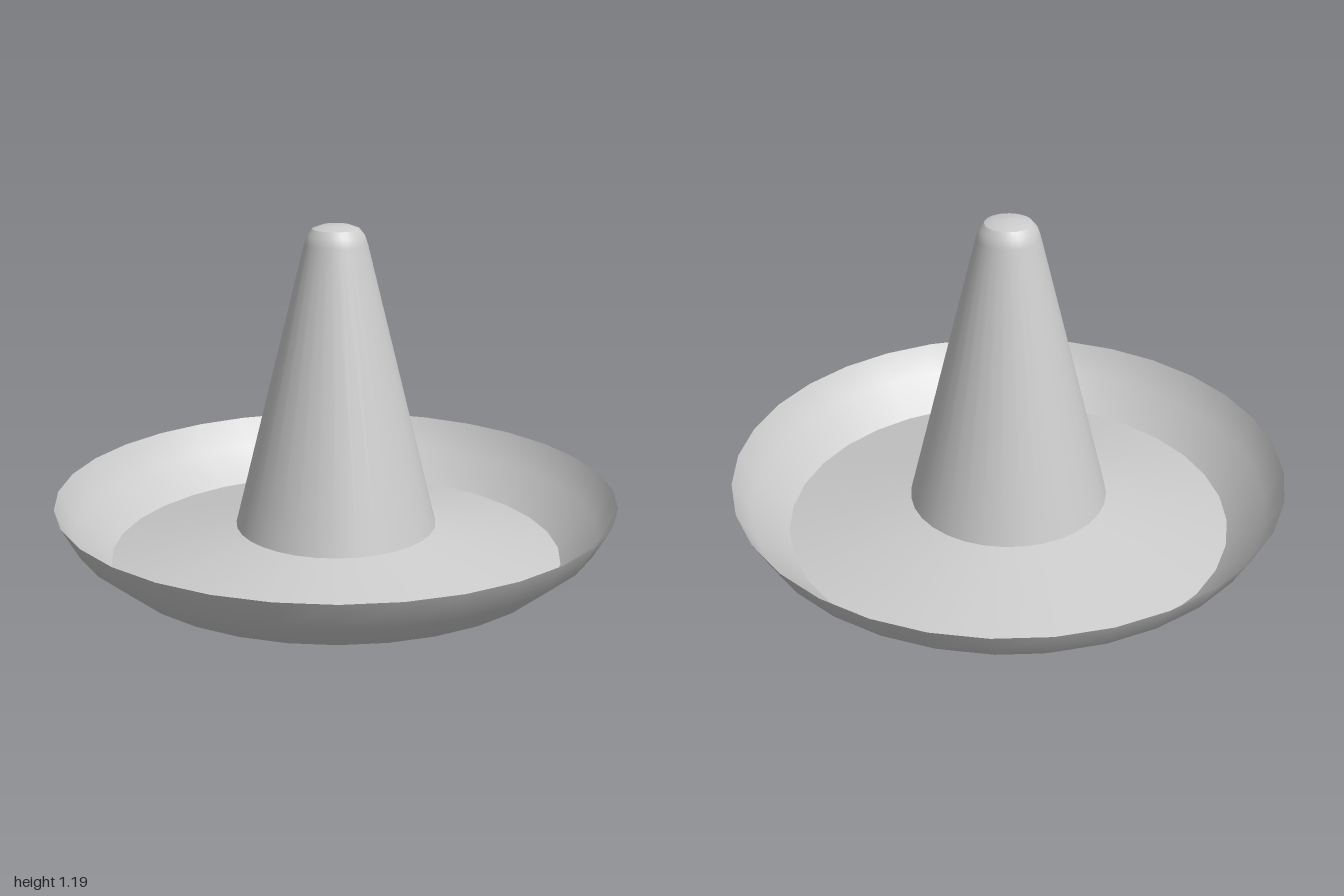
import * as THREE from 'three';

const SEGMENTS = 32;
const TURN = THREE.MathUtils.degToRad(3.85);

// Thin shell turned about the y axis; profile runs from the rim towards the crown top
function shell(name, profile) {
  const points = profile.map(([r, y]) => new THREE.Vector2(r, y));
  const geometry = new THREE.LatheGeometry(points, SEGMENTS, TURN);
  const material = new THREE.MeshStandardMaterial({ color: 0xcccccc, side: THREE.DoubleSide });
  const mesh = new THREE.Mesh(geometry, material);
  mesh.name = name;
  return mesh;
}

export function createModel() {
  const hat = new THREE.Group();
  hat.name = 'wideBrimmedHat';

  // Separate shells keep the creases between them sharp
  hat.add(
    // upturned edge of the brim
    shell('brimEdge', [[1, 0.22], [0.94, 0.11], [0.81, 0]]),
    // brim floor rising gently towards the crown
    shell('brimFloor', [[0.81, 0], [0.36, 0.105]]),
    // tall hollow crown with a rounded shoulder
    shell('crown', [[0.36, 0.105], [0.11, 1.12], [0.1, 1.15], [0.082, 1.172]]),
    // shallow domed tip
    shell('crownTip', [[0.082, 1.172], [0.05, 1.184], [0, 1.187]])
  );
  return hat;
}
